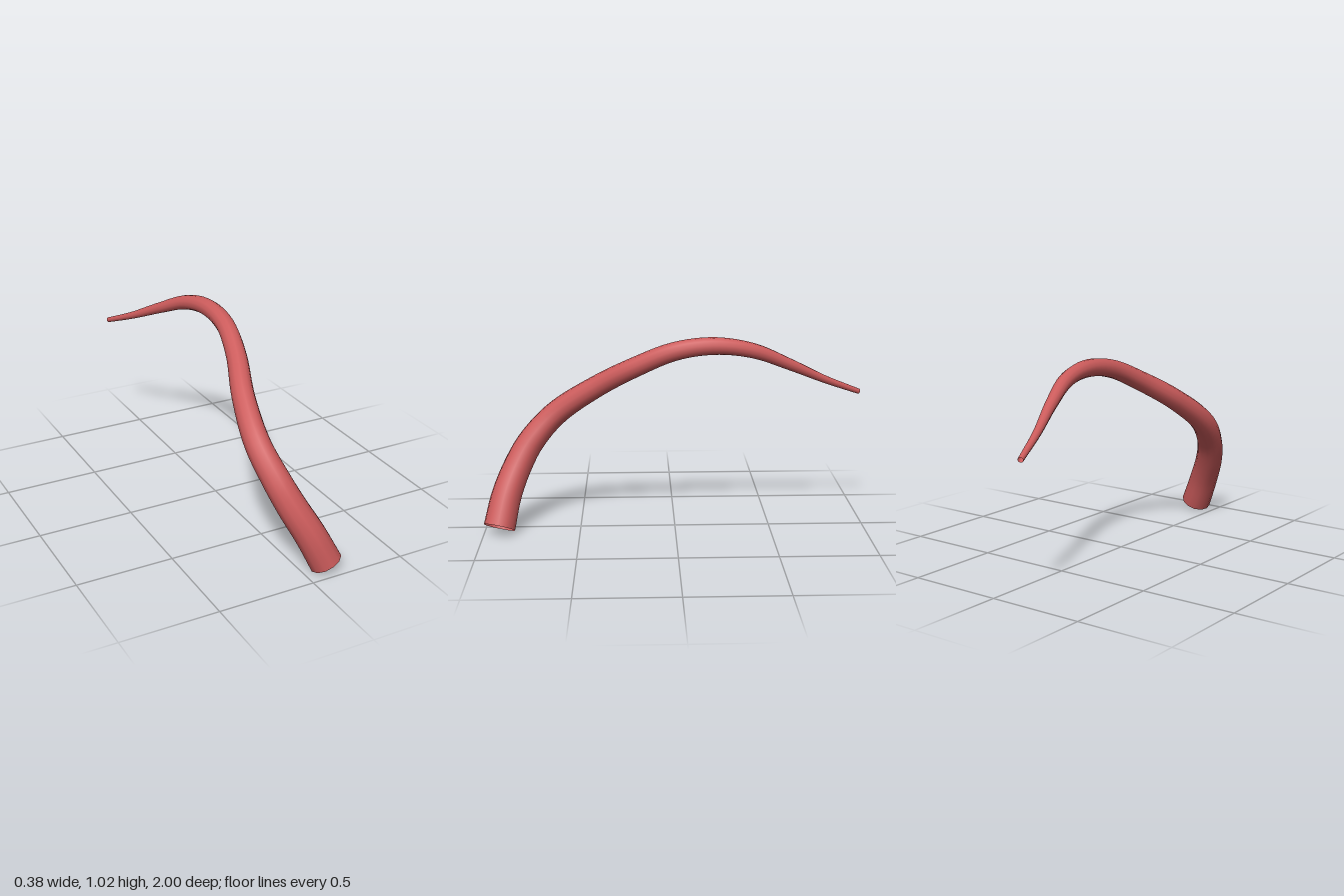
import * as THREE from 'three';

// Centre line stations from thick end to thin end: x, y, z, radius
const STATIONS = [
  [0.118, 0.044, 0.918, 0.083],
  [0.045, 0.2, 0.882, 0.079],
  [-0.025, 0.34, 0.825, 0.075],
  [-0.072, 0.46, 0.755, 0.071],
  [-0.102, 0.6, 0.625, 0.065],
  [-0.062, 0.75, 0.41, 0.057],
  [0.013, 0.87, 0.2, 0.052],
  [0.056, 0.957, 0, 0.048],
  [0.061, 0.984, -0.2, 0.045],
  [0.035, 0.954, -0.4, 0.039],
  [-0.03, 0.868, -0.6, 0.03],
  [-0.11, 0.771, -0.8, 0.02],
  [-0.178, 0.69, -0.994, 0.014],
];
const LENGTH_STEPS = 64;
const SIDES = 12;

// Open tube whose rings are scaled to the radius at each station
function taperedTube(stations) {
  const curve = new THREE.CatmullRomCurve3(stations.map(([x, y, z]) => new THREE.Vector3(x, y, z)));
  const geometry = new THREE.TubeGeometry(curve, LENGTH_STEPS, 1, SIDES, false);
  const { position, normal } = geometry.attributes;
  const centre = new THREE.Vector3();
  const last = stations.length - 1;
  for (let i = 0; i <= LENGTH_STEPS; i++) {
    const u = i / LENGTH_STEPS;
    const s = curve.getUtoTmapping(u) * last;
    const k = Math.min(Math.floor(s), last - 1);
    const radius = THREE.MathUtils.lerp(stations[k][3], stations[k + 1][3], s - k);
    curve.getPointAt(u, centre);
    for (let j = 0; j <= SIDES; j++) {
      const v = i * (SIDES + 1) + j;
      position.setXYZ(v,
        centre.x + normal.getX(v) * radius,
        centre.y + normal.getY(v) * radius,
        centre.z + normal.getZ(v) * radius);
    }
  }
  return geometry;
}

export function createModel() {
  const group = new THREE.Group();
  group.name = 'tentacle';
  const coral = new THREE.MeshStandardMaterial({ color: 0xcd5c5c, side: THREE.DoubleSide });
  coral.name = 'coral red';
  const body = new THREE.Mesh(taperedTube(STATIONS), coral);
  body.name = 'taperedBody';
  group.add(body);
  return group;
}
